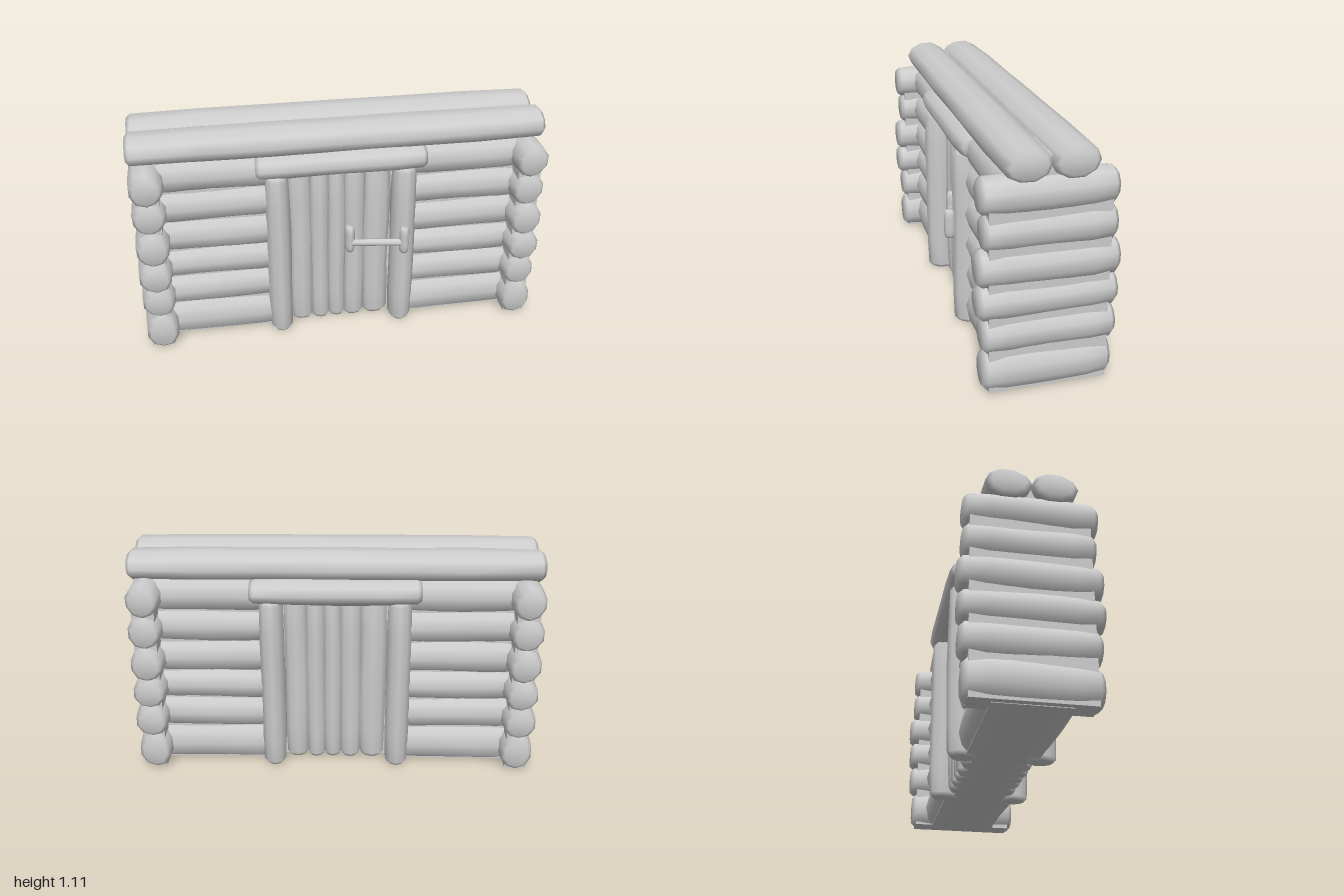
import * as THREE from 'three';
import { mergeVertices } from 'three/addons/utils/BufferGeometryUtils.js';

const wood = new THREE.MeshStandardMaterial({ color: 0xcccccc });
wood.name = 'pale wood';

// Rough hewn log along local y: rounded ends, gently uneven radius
function logGeometry(length, ra, rb, seed, wobble = 0.05, sides = 10) {
  const h = length / 2;
  const c = Math.min(0.02, length * 0.1);
  const profile = [[0, -h], [0.72, -h], [0.94, -h + c]];
  for (let i = 1; i < 6; i++) profile.push([1, -h + c + (i / 6) * (length - 2 * c)]);
  profile.push([0.94, h - c], [0.72, h], [0, h]);
  let g = new THREE.LatheGeometry(profile.map(([r, y]) => new THREE.Vector2(r, y)), sides);
  g.deleteAttribute('uv');
  g.deleteAttribute('normal');
  g = mergeVertices(g, 1e-4);
  const p = g.attributes.position;
  for (let i = 0; i < p.count; i++) {
    const x = p.getX(i), y = p.getY(i), z = p.getZ(i);
    const a = Math.atan2(z, x);
    const k = 1 + wobble * Math.sin(y * 9 + seed * 2.3 + 2 * a) * Math.cos(a + seed);
    p.setXYZ(i, x * ra * k, y, z * rb * k);
  }
  return g;
}

function add(group, name, geometry, x = 0, y = 0, z = 0) {
  geometry.computeVertexNormals();
  const m = new THREE.Mesh(geometry, wood);
  m.name = name;
  m.position.set(x, y, z);
  group.add(m);
  return m;
}

// Log lying along x; ry is its half height and rz its half depth
const logX = (len, ry, rz, seed, wobble) => logGeometry(len, ry, rz, seed, wobble).rotateZ(-Math.PI / 2);
// Log lying along z
const logZ = (len, rx, ry, seed, wobble) => logGeometry(len, rx, ry, seed, wobble).rotateX(Math.PI / 2);

// Keep the lowest course flat on the ground
function flatten(geometry, centreY, floor = 0.01) {
  const p = geometry.attributes.position;
  for (let i = 0; i < p.count; i++) p.setY(i, Math.max(p.getY(i), floor - centreY));
  return geometry;
}

export function createModel() {
  const model = new THREE.Group();
  model.name = 'logGate';

  // Courses: centre height, half height, front reach, back reach
  const courses = [
    [0.105, 0.105, 0.29, 0.285], [0.28, 0.09, 0.29, 0.3], [0.435, 0.085, 0.31, 0.305],
    [0.59, 0.09, 0.31, 0.31], [0.75, 0.088, 0.285, 0.29], [0.91, 0.088, 0.3, 0.29],
  ];

  for (const side of [-1, 1]) {
    const wing = new THREE.Group();
    wing.name = side > 0 ? 'leftWallWing' : 'rightWallWing';
    model.add(wing);

    // Solid middle of the wall
    add(wing, 'wallCore', new THREE.BoxGeometry(0.64, 0.97, 0.34), side * 0.62, 0.497, 0);
    add(wing, 'endCore', new THREE.BoxGeometry(0.11, 0.95, 0.53), side * 0.915, 0.49, 0);

    courses.forEach(([y, r, front, back], i) => {
      const seed = i * 1.7 + side;
      // Horizontal logs on the front and back faces
      for (const face of [-1, 1]) {
        add(wing, 'wallLog', flatten(logX(0.66, r, 0.075, seed + face, 0.06), y), side * 0.61, y, face * 0.137);
      }
      // Cross log at the end of the wall
      const end = flatten(logZ(front + back, 0.084, r, seed, 0.05), y);
      add(wing, 'endLog', end, side * 0.914, y, (front - back) / 2);
    });
  }

  // Paired ridge logs along the top
  for (const face of [-1, 1]) {
    add(model, 'topLog', logX(1.99, 0.078, 0.112, face * 2, 0.04), 0, 1.043, face * 0.103 + 0.005);
  }
  add(model, 'topFill', new THREE.BoxGeometry(1.9, 0.1, 0.2), 0, 1.02, 0);

  // Door with upright logs on both faces
  const door = new THREE.Group();
  door.name = 'door';
  model.add(door);
  add(door, 'doorCore', new THREE.BoxGeometry(0.62, 0.97, 0.26), 0, 0.497, 0);
  const planks = [[-0.195, 0.062], [-0.1, 0.052], [-0.015, 0.05], [0.075, 0.058], [0.185, 0.07]];
  planks.forEach(([x, r], i) => {
    for (const face of [-1, 1]) {
      add(door, 'doorLog', logGeometry(0.88, r, 0.06, i * 2 + face, 0.08), face * x, 0.45, face * 0.115);
    }
  });

  // Door frame on both faces
  for (const face of [-1, 1]) {
    const frame = new THREE.Group();
    frame.name = face > 0 ? 'frontFrame' : 'backFrame';
    model.add(frame);
    for (const side of [-1, 1]) {
      add(frame, 'doorPost', logGeometry(0.89, 0.061, 0.08, side + face, 0.04), side * 0.31, 0.45, face * 0.18);
    }
    add(frame, 'lintel', logX(0.82, 0.064, 0.085, face * 3, 0.04), 0, 0.938, face * (face > 0 ? 0.172 : 0.187));
  }

  // Door handle: two brackets joined by a bar
  const handle = new THREE.Group();
  handle.name = 'handle';
  model.add(handle);
  add(handle, 'innerBracket', logGeometry(0.14, 0.025, 0.035, 1, 0.05, 8), 0.042, 0.51, 0.195);
  add(handle, 'outerBracket', logGeometry(0.14, 0.025, 0.03, 2, 0.05, 8), 0.3, 0.525, 0.272);
  const bar = new THREE.LineCurve3(new THREE.Vector3(0.042, 0.492, 0.21), new THREE.Vector3(0.3, 0.515, 0.28));
  add(handle, 'handleBar', new THREE.TubeGeometry(bar, 1, 0.018, 8));

  return model;
}
